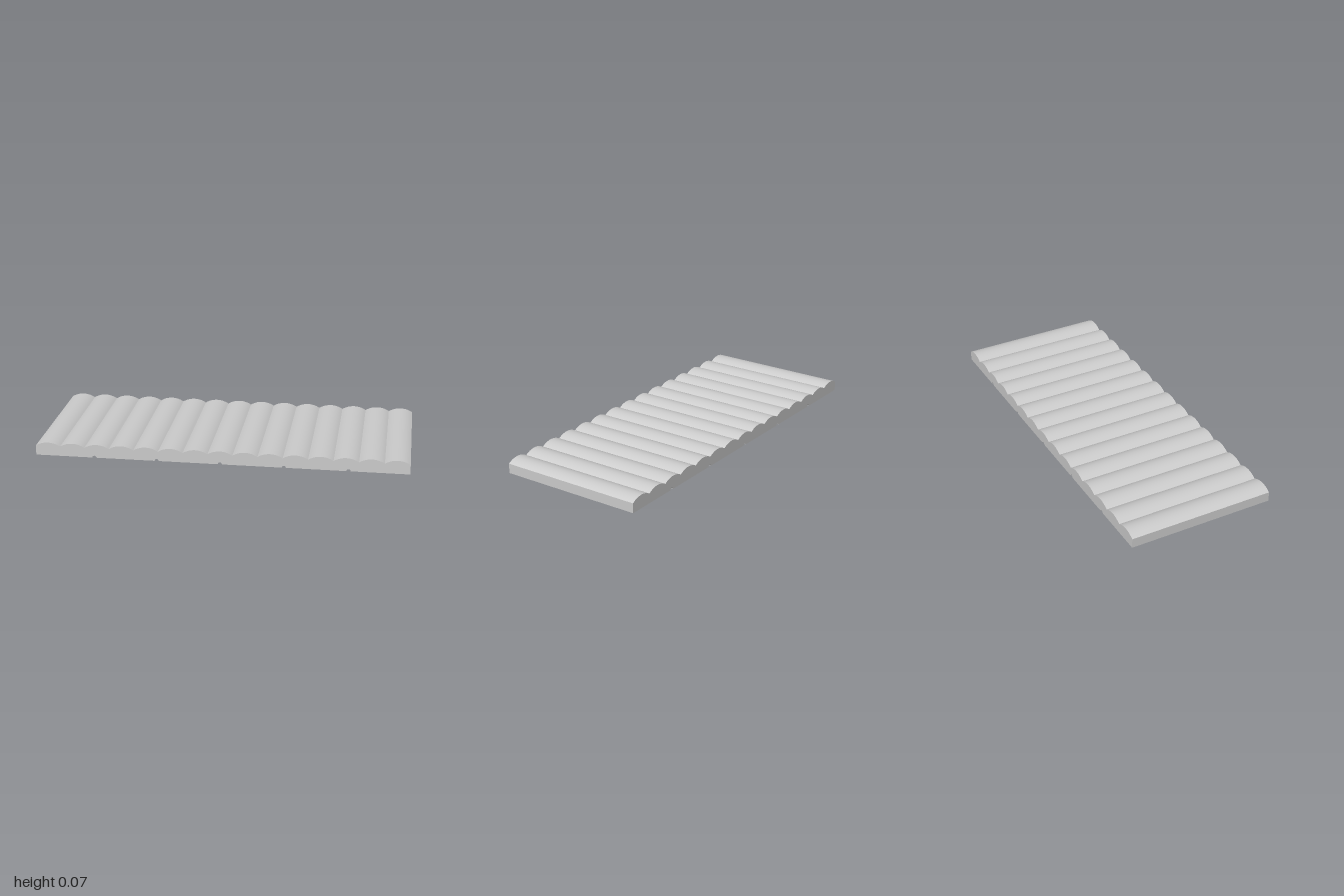
import * as THREE from 'three';
import { toCreasedNormals } from 'three/addons/utils/BufferGeometryUtils.js';

const RIBS = 15, DEPTH = 0.8;
const VALLEY = 0.053, PEAK = 0.073;
const GROOVE_RADIUS = 0.011, GROOVE_SPACING = 0.34;

export function createModel() {
  const group = new THREE.Group();
  group.name = 'ribbedPanel';

  const profile = new THREE.Shape();
  profile.moveTo(-1, 0);

  // Half-round grooves along the flat underside
  for (let i = -2; i <= 2; i++) {
    const x = i * GROOVE_SPACING;
    profile.lineTo(x - GROOVE_RADIUS, 0);
    profile.absarc(x, 0, GROOVE_RADIUS, Math.PI, 0, true);
  }
  profile.lineTo(1, 0);
  profile.lineTo(1, VALLEY);

  // Row of shallow rounded ribs across the top, from +x to -x
  const half = 1 / RIBS, rise = PEAK - VALLEY;
  const radius = (half * half + rise * rise) / (2 * rise);
  const sweep = Math.asin(half / radius);
  for (let i = 0; i < RIBS; i++) {
    const x = 1 - half * (2 * i + 1);
    profile.absarc(x, PEAK - radius, radius, Math.PI / 2 - sweep, Math.PI / 2 + sweep, false);
  }
  profile.closePath();

  const extruded = new THREE.ExtrudeGeometry(profile, { depth: DEPTH, bevelEnabled: false, curveSegments: 7 });
  extruded.translate(0, 0, -DEPTH / 2);
  const panel = new THREE.Mesh(
    toCreasedNormals(extruded, 0.6),
    new THREE.MeshStandardMaterial({ color: 0xcccccc })
  );
  panel.name = 'panel';
  group.add(panel);
  return group;
}
